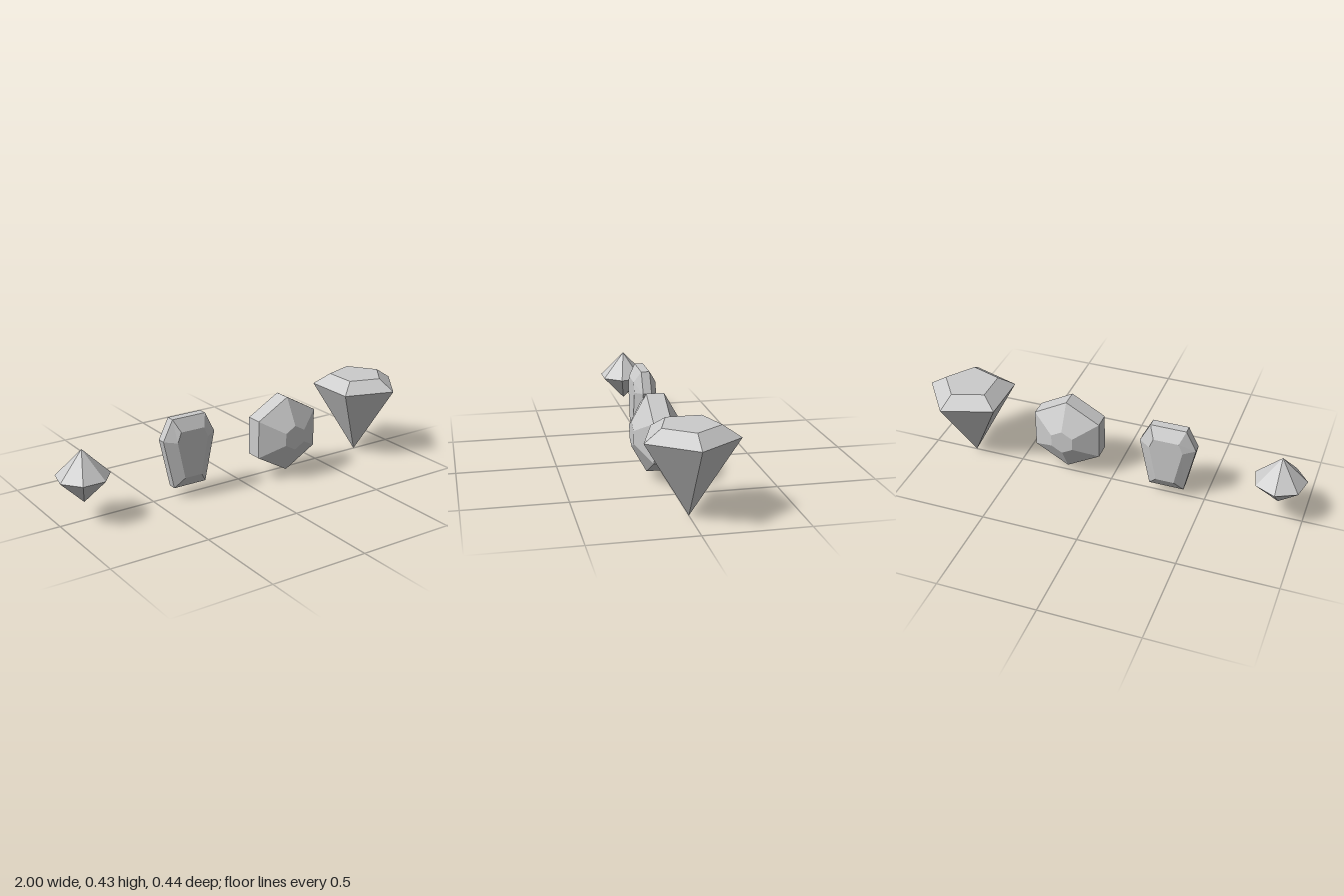
import * as THREE from 'three';

const material = new THREE.MeshStandardMaterial({ color: 0xcccccc, flatShading: true });

// Regular polygon, counter-clockwise, as [x, y] pairs
function polygon(sides, radius, start = 0) {
  return Array.from({ length: sides }, (_, i) => {
    const a = start + (i / sides) * Math.PI * 2;
    return [Math.cos(a) * radius, Math.sin(a) * radius];
  });
}

// Six-sided tapered outline: widths at bottom, middle and top
function coffin(bottom, yBottom, middle, yMiddle, top, yTop) {
  return [
    [-bottom, yBottom], [bottom, yBottom], [middle, yMiddle],
    [top, yTop], [-top, yTop], [-middle, yMiddle],
  ];
}

// Faceted stone lofted along z through [outline, z] sections, closed at both ends
function cutStone(sections) {
  const rings = sections.map(([outline, z]) => outline.map(([x, y]) => new THREE.Vector3(x, y, z)));
  const points = [];
  const tri = (a, b, c) => {
    if (new THREE.Triangle(a, b, c).getArea() > 1e-8) points.push(a, b, c);
  };
  const n = rings[0].length;
  for (let r = 0; r < rings.length - 1; r++) {
    const lo = rings[r], hi = rings[r + 1];
    for (let i = 0; i < n; i++) {
      const j = (i + 1) % n;
      tri(lo[i], lo[j], hi[j]);
      tri(lo[i], hi[j], hi[i]);
    }
  }
  const first = rings[0], last = rings[rings.length - 1];
  for (let i = 1; i < n - 1; i++) {
    tri(first[0], first[i + 1], first[i]);
    tri(last[0], last[i], last[i + 1]);
  }
  const geometry = new THREE.BufferGeometry().setFromPoints(points);
  geometry.computeVertexNormals();
  return geometry;
}

export function createModel() {
  const group = new THREE.Group();
  const add = (name, geometry, x, y) => {
    const mesh = new THREE.Mesh(geometry, material);
    mesh.name = name;
    mesh.position.set(x, y, 0);
    group.add(mesh);
  };

  // Small seven-sided double pyramid
  const seven = (r) => polygon(7, r, Math.PI / 2);
  add('bipyramidGem', cutStone([
    [seven(0), -0.132], [seven(0.133), 0], [seven(0), 0.135],
  ]).rotateX(-Math.PI / 2), -0.87, 0.225);

  // Flat tapered stone with bevelled front and back
  const outer = coffin(0.09, 0.053, 0.145, 0.307, 0.092, 0.412);
  const inner = coffin(0.047, 0.11, 0.086, 0.3, 0.065, 0.352);
  add('taperedGem', cutStone([
    [inner, -0.058], [outer, -0.022], [outer, 0.022], [inner, 0.058],
  ]), -0.303, 0);

  // Thick hexagonal stone with small front and back tables
  const six = (r) => polygon(6, r, Math.PI / 2).map(([x, y]) => [x * 1.02, y]);
  add('hexagonGem', cutStone([
    [six(0.064), -0.076], [six(0.197), 0], [six(0.197), 0.086], [six(0.064), 0.16],
  ]), 0.241, 0.226);

  // Large five-sided stone with a pointed base
  add('pentagonGem', cutStone([
    [polygon(5, 0), 0], [polygon(5, 0.23), 0.374], [polygon(5, 0.142), 0.43],
  ]).rotateX(-Math.PI / 2), 0.768, 0);

  return group;
}
